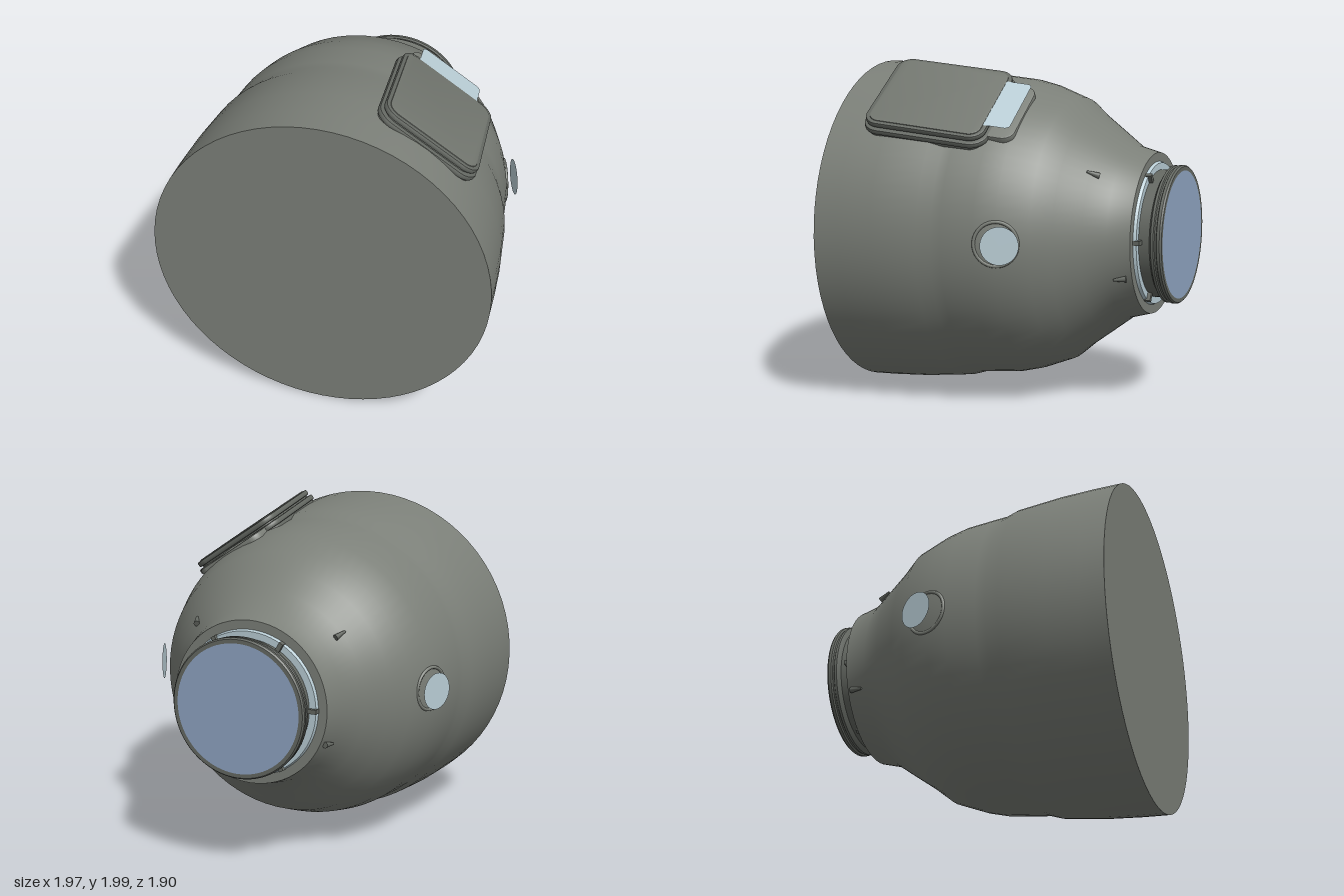
import * as THREE from 'three';
import { toCreasedNormals } from 'three/addons/utils/BufferGeometryUtils.js';

const AXIS_Y = 0.985; // height of the capsule's long axis

function material(name, color, double = false) {
  const m = new THREE.MeshStandardMaterial({ color });
  m.name = name;
  if (double) m.side = THREE.DoubleSide;
  return m;
}

function add(parent, name, geometry, mat, x = 0, y = 0, z = 0) {
  const mesh = new THREE.Mesh(geometry, mat);
  mesh.name = name;
  mesh.position.set(x, y, z);
  parent.add(mesh);
  return mesh;
}

// Revolve [radius, z] pairs, listed from back to front, about the z axis
function turned(profile, crease = 0.7) {
  const g = new THREE.LatheGeometry(profile.map(([r, z]) => new THREE.Vector2(r, z)), 72);
  g.rotateX(Math.PI / 2);
  return toCreasedNormals(g, crease);
}

function roundedRect(w, h, r) {
  const s = new THREE.Shape(), x = w / 2, y = h / 2;
  s.moveTo(-x + r, -y).lineTo(x - r, -y).absarc(x - r, -y + r, r, -Math.PI / 2, 0);
  s.lineTo(x, y - r).absarc(x - r, y - r, r, 0, Math.PI / 2);
  s.lineTo(-x + r, y).absarc(-x + r, y - r, r, Math.PI / 2, Math.PI);
  s.lineTo(-x, -y + r).absarc(-x + r, -y + r, r, Math.PI, Math.PI * 1.5);
  return s;
}

// Rounded slab whose top face lies at z = 0
function slab(w, h, r, depth, bevel = 0.01) {
  const g = new THREE.ExtrudeGeometry(roundedRect(w - 2 * bevel, h - 2 * bevel, r), {
    depth: depth - 2 * bevel, bevelEnabled: true, bevelSize: bevel,
    bevelThickness: bevel, bevelSegments: 2, curveSegments: 8,
  });
  return toCreasedNormals(g.translate(0, 0, bevel - depth), 0.5);
}

export function createModel() {
  const hull = material('hull grey', 0x7b7f78);
  const trim = material('dark trim grey', 0x646862);
  const cover = material('hatch grey', 0x71756e);
  const glass = material('pale window', 0xb9cdd5, true);
  const blue = material('blue docking face', 0x8fa4c2);

  const model = new THREE.Group();
  model.name = 'capsule';
  const body = new THREE.Group();
  body.name = 'body';
  body.position.y = AXIS_Y;
  model.add(body);

  // Main shell with closed ends
  add(body, 'hull', turned([
    [0, -0.785], [0.475, -0.785], [0.51, -0.655], [0.6, -0.535], [0.7, -0.4],
    [0.785, -0.3], [0.855, -0.12], [0.885, 0], [0.905, 0.19], [0.91, 0.25],
    [0.936, 0.33], [0.966, 0.6], [0.978, 0.8], [0.983, 0.955], [0, 0.955],
  ]), hull);

  // Pale band at the root of the docking neck
  add(body, 'neckBand', turned([
    [0.37, -0.802], [0.415, -0.802], [0.425, -0.78], [0.37, -0.78],
  ]), glass);

  // Docking neck with a double rim
  add(body, 'dockingNeck', turned([
    [0.375, -0.945], [0.398, -0.945], [0.406, -0.935], [0.406, -0.918], [0.395, -0.912],
    [0.395, -0.902], [0.403, -0.897], [0.403, -0.882], [0.385, -0.87], [0.375, -0.865],
    [0.375, -0.78],
  ], 0.5), trim);
  add(body, 'dockingFace', new THREE.CircleGeometry(0.385, 72), blue, 0, 0, -0.944)
    .rotation.y = Math.PI;

  // Six small brackets around the neck
  for (let i = 0; i < 6; i++) {
    const a = (i * Math.PI) / 3;
    const b = add(body, 'neckBracket', new THREE.BoxGeometry(0.05, 0.026, 0.04), trim,
      0.4 * Math.cos(a), 0.4 * Math.sin(a), -0.803);
    b.rotation.z = a;
  }

  for (const side of [1, -1]) {
    // Thruster pins, lying along the shell
    for (const [x, y, z, tilt] of [[0.45, 0.385, -0.555, 0.55], [0.455, -0.205, -0.72, 0.26]]) {
      const pivot = new THREE.Group();
      pivot.name = 'thruster';
      pivot.rotation.z = Math.atan2(y, side * x);
      body.add(pivot);
      const pin = new THREE.CylinderGeometry(0.007, 0.018, 0.075, 12).rotateX(Math.PI / 2);
      add(pivot, 'thrusterPin', pin, trim, Math.hypot(x, y) + 0.004, 0, z).rotation.y = tilt;
    }

    // Round side window standing off the shell, with its seat behind
    const turn = Math.PI / 2 + 0.39;
    add(body, 'sideWindow', new THREE.CircleGeometry(0.108, 40), glass,
      side * 0.895, 0.015, -0.17).rotation.y = side * turn;
    add(body, 'windowSeat', new THREE.TorusGeometry(0.125, 0.01, 8, 40), hull,
      side * 0.842, 0.015, -0.125).rotation.y = side * (Math.PI / 2 + 0.32);
  }

  // Side hatch: local x runs around the shell, y to the back, z outward
  const hatch = new THREE.Group();
  hatch.name = 'hatch';
  const angle = 0.59, lean = 0.135;
  const across = new THREE.Vector3(Math.cos(angle), -Math.sin(angle), 0);
  const out = new THREE.Vector3(
    Math.sin(angle) * Math.cos(lean), Math.cos(angle) * Math.cos(lean), -Math.sin(lean));
  const back = new THREE.Vector3().crossVectors(out, across);
  hatch.quaternion.setFromRotationMatrix(new THREE.Matrix4().makeBasis(across, back, out));
  hatch.position.set(0.545, 0.81, 0.36);
  body.add(hatch);

  add(hatch, 'hatchCover', slab(0.58, 0.68, 0.06, 0.03, 0.006), cover);
  add(hatch, 'hatchUpperFrame', slab(0.625, 0.73, 0.08, 0.034), trim, 0, 0, -0.005);
  add(hatch, 'hatchGroove', slab(0.59, 0.7, 0.07, 0.05), trim, 0, 0, -0.025);
  add(hatch, 'hatchLowerFrame', slab(0.65, 0.755, 0.09, 0.034), trim, 0, 0, -0.048);
  add(hatch, 'hatchBase', slab(0.62, 0.73, 0.08, 0.06), trim, 0, 0, -0.07);

  // Pale window plate behind the hatch and its raised seat
  add(hatch, 'hatchWindow', new THREE.ShapeGeometry(roundedRect(0.41, 0.2, 0.03)), glass,
    -0.01, 0.395, -0.003);
  add(hatch, 'hatchWindowSeat', slab(0.48, 0.26, 0.06, 0.06), hull, -0.01, 0.385, -0.05);

  return model;
}
